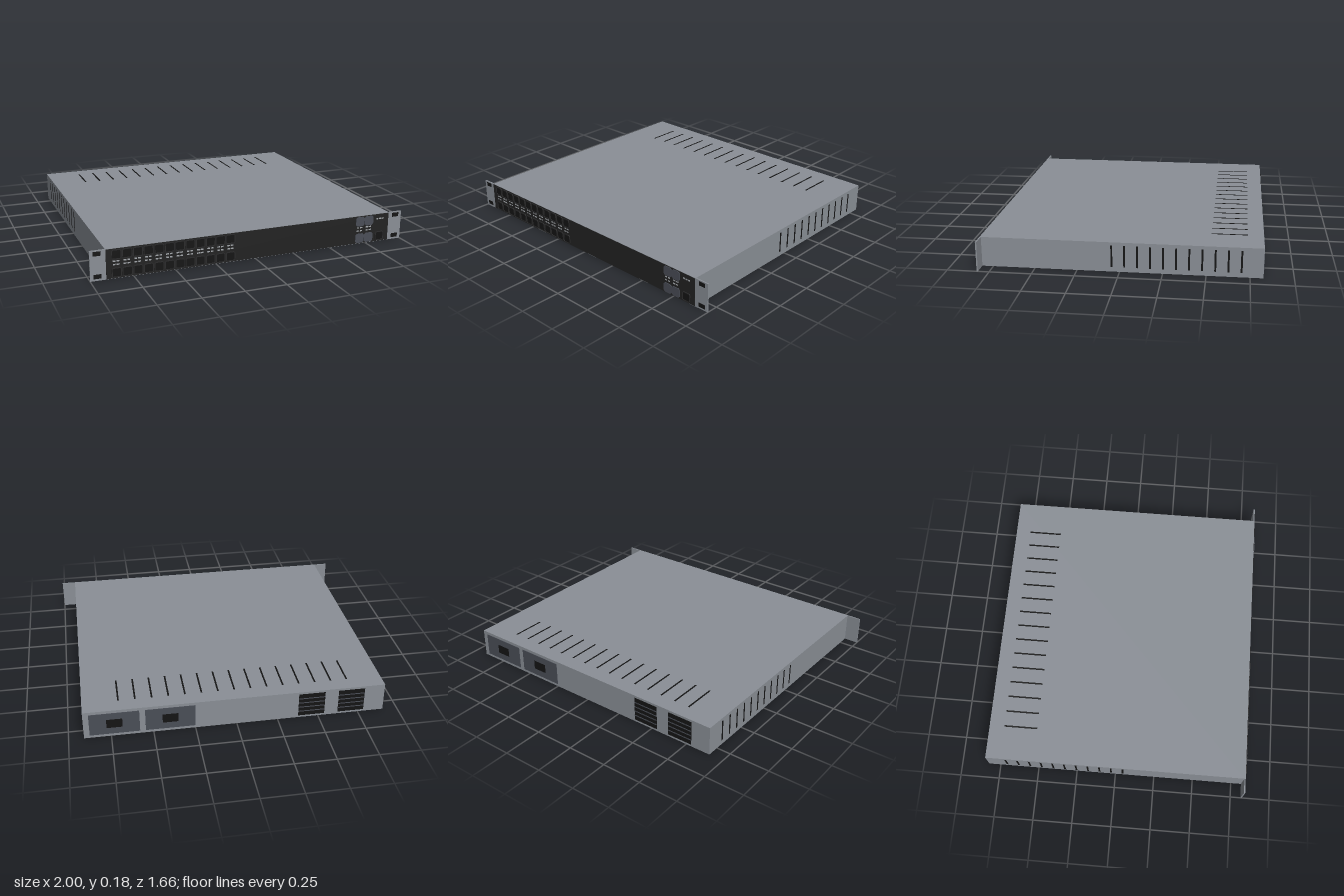
import * as THREE from 'three';

const mat = (name, color) => {
  const m = new THREE.MeshStandardMaterial({ color });
  m.name = name;
  return m;
};

export function createModel() {
  const metal = mat('grey metal', 0x8a8f96);
  const black = mat('fascia black', 0x222222);
  const socketBlack = mat('socket black', 0x141414);
  const frameBlack = mat('port frame black', 0x2a2a2b);
  const slate = mat('slate grey', 0x4a4e57);
  const pale = mat('pale marking', 0xa4a8ac);

  const model = new THREE.Group();
  model.name = 'rackSwitch';

  const box = (name, material, w, h, d, x, y, z, parent = model) => {
    const mesh = new THREE.Mesh(new THREE.BoxGeometry(w, h, d), material);
    mesh.name = name;
    mesh.position.set(x, y, z);
    parent.add(mesh);
    return mesh;
  };
  const group = (name) => {
    const g = new THREE.Group();
    g.name = name;
    model.add(g);
    return g;
  };

  // Chassis, rack ear plate and black fascia
  const H = 0.18, FRONT = 0.826, BACK = -0.826;
  box('chassis', metal, 1.82, H, 1.644, 0, H / 2, -0.004);
  box('rackEarPlate', metal, 2, H, 0.008, 0, H / 2, 0.82);
  box('fascia', black, 1.816, H - 0.004, 0.003, 0, H / 2, 0.8245);

  // Mounting slots in the ears
  const slots = group('mountingSlots');
  for (const x of [-0.958, 0.958])
    for (const y of [0.025, 0.16]) box('mountingSlot', socketBlack, 0.044, 0.026, 0.002, x, y, 0.8245, slots);

  // Frame with an open centre and chamfered corners, around a dark socket
  const outline = (path, w, h, c) => {
    const a = w / 2, b = h / 2;
    path.moveTo(-a + c, -b);
    path.lineTo(a - c, -b);
    path.lineTo(a, -b + c);
    path.lineTo(a, b - c);
    path.lineTo(a - c, b);
    path.lineTo(-a + c, b);
    path.lineTo(-a, b - c);
    path.lineTo(-a, -b + c);
    path.closePath();
    return path;
  };
  const frameGeometry = (w, h, rim) => {
    const shape = outline(new THREE.Shape(), w, h, 0.008);
    shape.holes.push(outline(new THREE.Path(), w - 2 * rim, h - 2 * rim, 0.004));
    return new THREE.ExtrudeGeometry(shape, { depth: 0.004, bevelEnabled: false });
  };
  const portFrame = frameGeometry(0.058, 0.058, 0.005);
  const addPort = (parent, name, x, y) => {
    const frame = new THREE.Mesh(portFrame, frameBlack);
    frame.name = name;
    frame.position.set(x, y, FRONT);
    parent.add(frame);
    box('socket', socketBlack, 0.05, 0.05, 0.001, x, y, FRONT + 0.0005, parent);
  };
  const addMarks = (parent, x) => {
    for (const y of [0.084, 0.104])
      for (const dx of [-0.013, 0.009])
        box('portMark', pale, 0.016, 0.008, 0.001, x + dx, y, FRONT + 0.0005, parent);
  };

  // Two rows of twelve network ports
  const ports = group('networkPorts');
  for (let i = 0; i < 12; i++) {
    const x = -0.848 + i * 0.0625;
    for (const y of [0.036, 0.144]) addPort(ports, 'networkPort', x, y);
    addMarks(ports, x);
  }

  // Four slate module cages, two by two
  const cages = group('moduleCages');
  const cageGeometry = new THREE.ExtrudeGeometry(outline(new THREE.Shape(), 0.06, 0.06, 0.01), {
    depth: 0.004, bevelEnabled: false,
  });
  for (const x of [0.706, 0.768]) {
    for (const y of [0.036, 0.144]) {
      const cage = new THREE.Mesh(cageGeometry, slate);
      cage.name = 'moduleCage';
      cage.position.set(x, y, FRONT);
      cages.add(cage);
    }
    addMarks(cages, x);
  }

  // Management port with status lights above
  const management = group('management');
  addPort(management, 'managementPort', 0.846, 0.036);
  for (let i = 0; i < 3; i++)
    box('statusLight', pale, 0.013, 0.009, 0.001, 0.828 + i * 0.019, 0.148, FRONT + 0.0005, management);

  // Ventilation slits on the top and both sides
  const vents = group('ventSlits');
  for (let i = 0; i < 15; i++)
    box('topSlit', socketBlack, 0.01, 0.002, 0.212, -0.695 + i * 0.0993, H, -0.625, vents);
  for (const x of [-0.91, 0.91])
    for (let i = 0; i < 11; i++)
      box('sideSlit', socketBlack, 0.002, 0.132, 0.011, x, 0.094, 0.047 - i * 0.0748, vents);

  // Power supplies on the back, each with an inlet
  const power = group('powerSupplies');
  for (const x of [0.728, 0.398]) {
    box('powerSupply', slate, 0.296, 0.144, 0.004, x, H / 2, BACK - 0.001, power);
    box('powerInlet', socketBlack, 0.094, 0.058, 0.002, x, H / 2, BACK - 0.003, power);
  }

  // Exhaust grilles on the back with thin slats
  const grilles = group('exhaustGrilles');
  for (const x of [-0.458, -0.704]) {
    box('grille', socketBlack, 0.162, 0.152, 0.003, x, H / 2, BACK - 0.001, grilles);
    for (let i = 0; i < 4; i++)
      box('slat', slate, 0.162, 0.006, 0.002, x, 0.045 + i * 0.03, BACK - 0.003, grilles);
  }

  return model;
}
